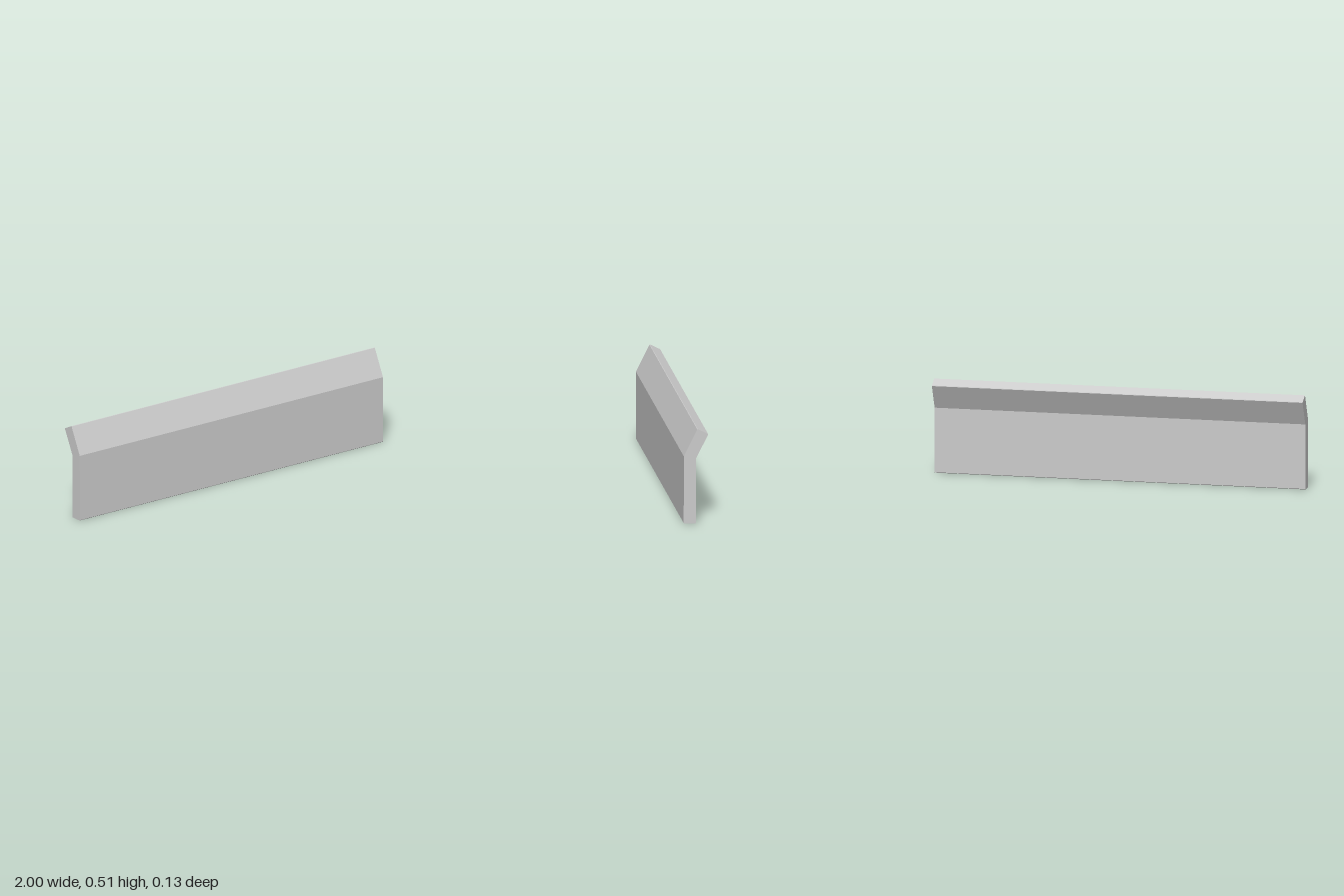
import * as THREE from 'three';

export function createModel() {
  const group = new THREE.Group();
  group.name = 'bentPanel';

  // Side profile as (z, y): upright slab, upper lip leaning back, tiny chamfers on outer corners
  const profile = [
    [0.065, 0.003], [0.062, 0], [0.003, 0], [0, 0.003],
    [0, 0.349],
    [-0.065, 0.477], [-0.064, 0.48], [-0.01, 0.507], [-0.007, 0.506],
    [0.064, 0.362],
  ].map(([z, y]) => new THREE.Vector2(z, y));

  // Sweep the profile along the full width
  const width = 2;
  const geometry = new THREE.ExtrudeGeometry(new THREE.Shape(profile), { depth: width, bevelEnabled: false });
  geometry.translate(0, 0, -width / 2);
  geometry.rotateY(-Math.PI / 2);

  const panel = new THREE.Mesh(
    geometry,
    new THREE.MeshStandardMaterial({ color: 0xcccccc, flatShading: true }),
  );
  panel.name = 'panel';
  group.add(panel);
  return group;
}
